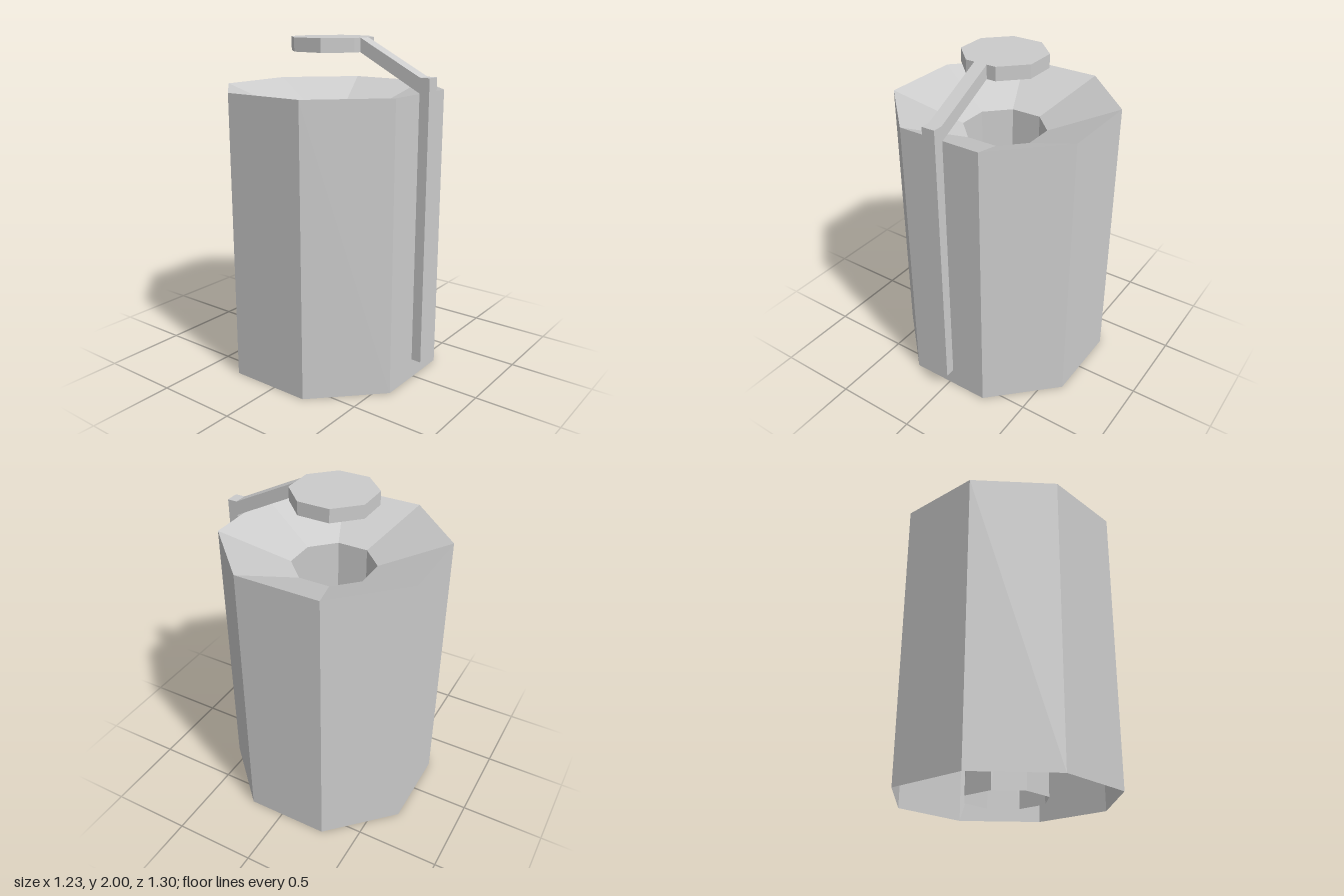
import * as THREE from 'three';

const CENTRE_Z = -0.036;
const SIDES = 8;
const TURN = Math.PI / SIDES; // puts a flat side to the front

function flatMesh(name, geometry, side = THREE.FrontSide) {
  const flat = geometry.index ? geometry.toNonIndexed() : geometry;
  flat.computeVertexNormals();
  const mesh = new THREE.Mesh(
    flat,
    new THREE.MeshStandardMaterial({ color: 0xcccccc, flatShading: true, side })
  );
  mesh.name = name;
  return mesh;
}

export function createModel() {
  const model = new THREE.Group();
  model.name = 'canister';

  // Octagonal shell: outer wall, sunken funnel top and open central tube
  const profile = [
    [0.664, 0],
    [0.664, 1.71],
    [0.25, 1.54],
    [0.25, 0],
  ].map(([r, y]) => new THREE.Vector2(r, y));
  const body = flatMesh('body', new THREE.LatheGeometry(profile, SIDES, TURN), THREE.DoubleSide);
  body.position.z = CENTRE_Z;
  model.add(body);

  // Lid floating above the central opening
  const lid = flatMesh('lid', new THREE.CylinderGeometry(0.25, 0.25, 0.08, SIDES, 1, false, TURN));
  lid.position.set(0, 1.96, CENTRE_Z);
  model.add(lid);

  // Upright post and sloping arm, as one side outline (z, y) given width
  const outline = [
    [0.59, 0.13],
    [0.65, 0.13],
    [0.65, 1.8],
    [0.59, 1.8],
    [0.195, 2],
    [0.195, 1.92],
    [0.59, 1.715],
  ].map(([z, y]) => new THREE.Vector2(z, y));
  const armGeometry = new THREE.ExtrudeGeometry(new THREE.Shape(outline), {
    depth: 0.08,
    bevelEnabled: false,
  });
  armGeometry.translate(0, 0, -0.04).rotateY(-Math.PI / 2);
  model.add(flatMesh('lidArm', armGeometry));

  return model;
}
